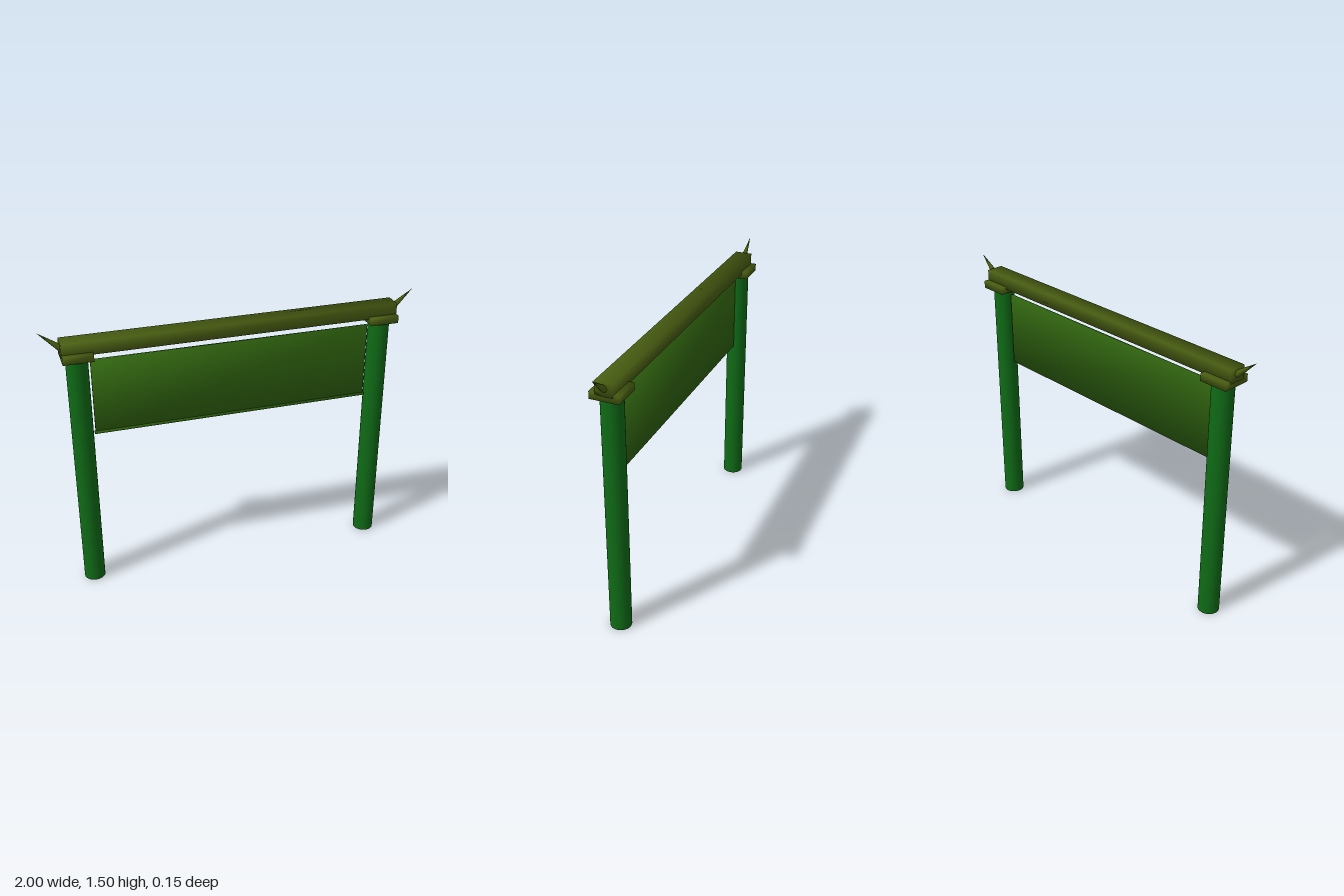
import * as THREE from 'three';

const postGreen = new THREE.MeshStandardMaterial({ color: 0x0f6a16 });
const panelGreen = new THREE.MeshStandardMaterial({ color: 0x30640f });
const beamOlive = new THREE.MeshStandardMaterial({ color: 0x4a5f12 });

export function createModel() {
  const group = new THREE.Group();

  function add(name, geometry, material, x, y, z = 0) {
    const mesh = new THREE.Mesh(geometry, material);
    mesh.name = name;
    mesh.position.set(x, y, z);
    group.add(mesh);
    return mesh;
  }

  // Box whose corner normals point outward, for soft shading across each face
  function softBox(w, h, d) {
    const geometry = new THREE.BoxGeometry(w, h, d);
    const p = geometry.attributes.position;
    const n = new THREE.Vector3();
    for (let i = 0; i < p.count; i++) {
      n.set(Math.sign(p.getX(i)), Math.sign(p.getY(i)), Math.sign(p.getZ(i))).normalize();
      geometry.attributes.normal.setXYZ(i, n.x, n.y, n.z);
    }
    return geometry;
  }

  // Posts, capital blocks and upswept horns, mirrored left and right
  for (const [side, s] of [['left', 1], ['right', -1]]) {
    add(side + 'Post', new THREE.CylinderGeometry(0.057, 0.057, 1.342, 32), postGreen, s * 0.817, 0.671);
    add(side + 'Capital', softBox(0.156, 0.04, 0.154), beamOlive, s * 0.817, 1.365);

    const base = new THREE.Vector3(s * 0.893, 1.41, 0);
    const tip = new THREE.Vector3(s * 1.0, 1.5, 0);
    const direction = tip.clone().sub(base);
    const middle = base.clone().lerp(tip, 0.5);
    const horn = add(side + 'Horn', new THREE.ConeGeometry(0.018, direction.length(), 8),
      beamOlive, middle.x, middle.y);
    horn.quaternion.setFromUnitVectors(new THREE.Vector3(0, 1, 0), direction.normalize());
  }

  // Crossbeam resting on the capitals
  add('crossbeam', softBox(1.79, 0.072, 0.094), beamOlive, 0, 1.407);

  // Hanging panel with a narrow ledge along its lower front edge
  add('panel', softBox(1.5, 0.418, 0.012), panelGreen, 0, 1.114);
  add('panelLedge', softBox(1.51, 0.012, 0.018), panelGreen, 0, 0.91, 0.005);

  return group;
}
